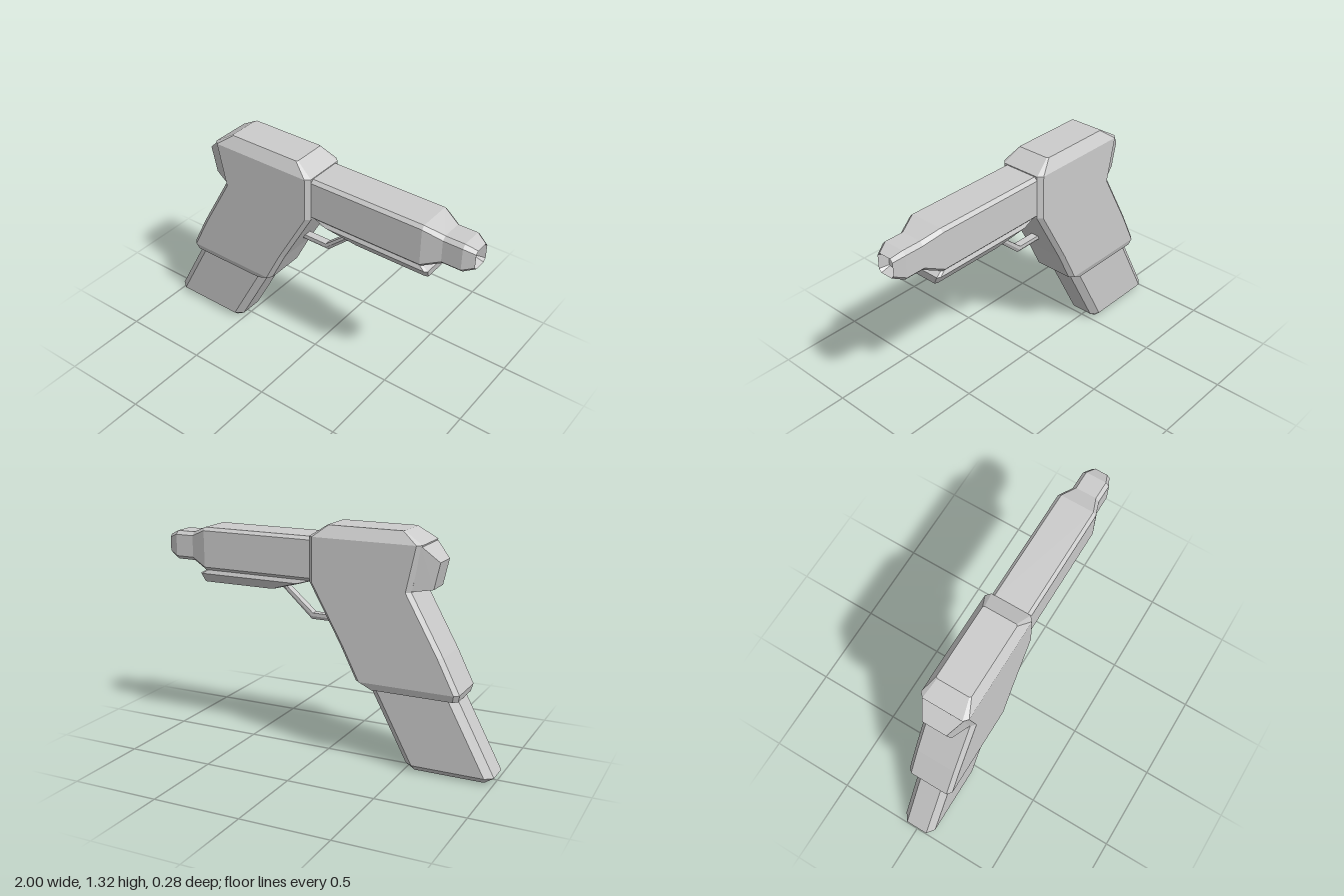
import * as THREE from 'three';

const material = new THREE.MeshStandardMaterial({ color: 0xcccccc, flatShading: true });

// Skin a series of equal-length point rings and cap both ends
function loft(name, rings) {
  const pos = [];
  const tri = (a, b, c) => pos.push(...a, ...b, ...c);
  const n = rings[0].length;
  for (let r = 0; r < rings.length - 1; r++) {
    const lo = rings[r], hi = rings[r + 1];
    for (let i = 0; i < n; i++) {
      const j = (i + 1) % n;
      tri(lo[i], lo[j], hi[j]);
      tri(lo[i], hi[j], hi[i]);
    }
  }
  const first = rings[0], last = rings[rings.length - 1];
  for (let i = 1; i < n - 1; i++) {
    tri(first[0], first[i + 1], first[i]);
    tri(last[0], last[i], last[i + 1]);
  }
  const geo = new THREE.BufferGeometry();
  geo.setAttribute('position', new THREE.Float32BufferAttribute(pos, 3));
  geo.computeVertexNormals();
  const mesh = new THREE.Mesh(geo, material);
  mesh.name = name;
  return mesh;
}

// Rectangle with cut corners, counter-clockwise in (u, v)
function cutRect(u0, u1, v0, v1, cu, cv) {
  return [
    [u0 + cu, v0], [u1 - cu, v0], [u1, v0 + cv], [u1, v1 - cv],
    [u1 - cu, v1], [u0 + cu, v1], [u0, v1 - cv], [u0, v0 + cv],
  ];
}

// Horizontal slice: height, x range, half depth, corner cuts
const sliceY = (y, x0, x1, h, cx, cz) =>
  cutRect(-h, h, x0, x1, cz, cx).map(([z, x]) => [x, y, z]);

// Upright slice: x position, y range, half depth, corner cut
const sliceX = (x, y0, y1, h, c) =>
  cutRect(y0, y1, -h, h, c, c).map(([y, z]) => [x, y, z]);

export function createModel() {
  const model = new THREE.Group();

  // Receiver and slanted grip in one shell
  model.add(loft('body', [
    sliceY(0.44, -0.8, -0.29, 0.125, 0.025, 0.023),
    sliceY(0.48, -0.81, -0.22, 0.138, 0.025, 0.023),
    sliceY(0.67, -0.715, -0.125, 0.138, 0.025, 0.023),
    sliceY(1.0, -0.53, 0.06, 0.138, 0.025, 0.023),
    sliceY(1.25, -0.585, 0.06, 0.138, 0.025, 0.023),
    sliceY(1.315, -0.48, -0.04, 0.1, 0.008, 0.008),
  ]));

  // Magazine sliding out of the grip
  model.add(loft('magazine', [
    sliceY(0, -0.95, -0.545, 0.065, 0.008, 0.008),
    sliceY(0.035, -1.0, -0.5, 0.1, 0.045, 0.034),
    sliceY(0.46, -0.775, -0.275, 0.1, 0.045, 0.034),
  ]));

  // Wedge at the back of the receiver
  const wedge = (xTop, yTop, xLow, yLow, h) =>
    [[xLow, yLow, -h], [xTop, yTop, -h], [xTop, yTop, h], [xLow, yLow, h]];
  model.add(loft('rearBlock', [
    wedge(-0.668, 1.16, -0.635, 1.015, 0.07),
    wedge(-0.575, 1.25, -0.51, 1.0, 0.122),
  ]));

  // Barrel housing, stepped muzzle and shallow bore
  model.add(loft('barrel', [
    sliceX(0.03, 1.0, 1.245, 0.115, 0.018),
    sliceX(0.73, 1.0, 1.245, 0.115, 0.018),
    sliceX(0.83, 1.04, 1.205, 0.08, 0.02),
    sliceX(0.94, 1.04, 1.205, 0.08, 0.02),
    sliceX(1.0, 1.067, 1.177, 0.052, 0.016),
    sliceX(0.95, 1.085, 1.158, 0.034, 0.004),
  ]));

  // Rail under the barrel
  model.add(loft('underRail', [
    sliceY(0.925, 0.31, 0.76, 0.072, 0.015, 0.008),
    sliceY(0.978, 0.13, 0.77, 0.106, 0.015, 0.012),
    sliceY(1.005, 0.04, 0.725, 0.095, 0.015, 0.008),
  ]));

  // Bent trigger guard
  const guardRing = (xTop, yTop, xLow, yLow) => {
    const at = (t, z) => [xLow + (xTop - xLow) * t, yLow + (yTop - yLow) * t, z];
    return [at(0, -0.01), at(0.5, -0.022), at(1, -0.022),
      at(1, 0.022), at(0.5, 0.022), at(0, 0.01)];
  };
  model.add(loft('triggerGuard', [
    guardRing(-0.1, 0.8, -0.1, 0.763),
    guardRing(0.088, 0.8, 0.1, 0.763),
    guardRing(0.27, 0.955, 0.3, 0.945),
  ]));

  return model;
}
